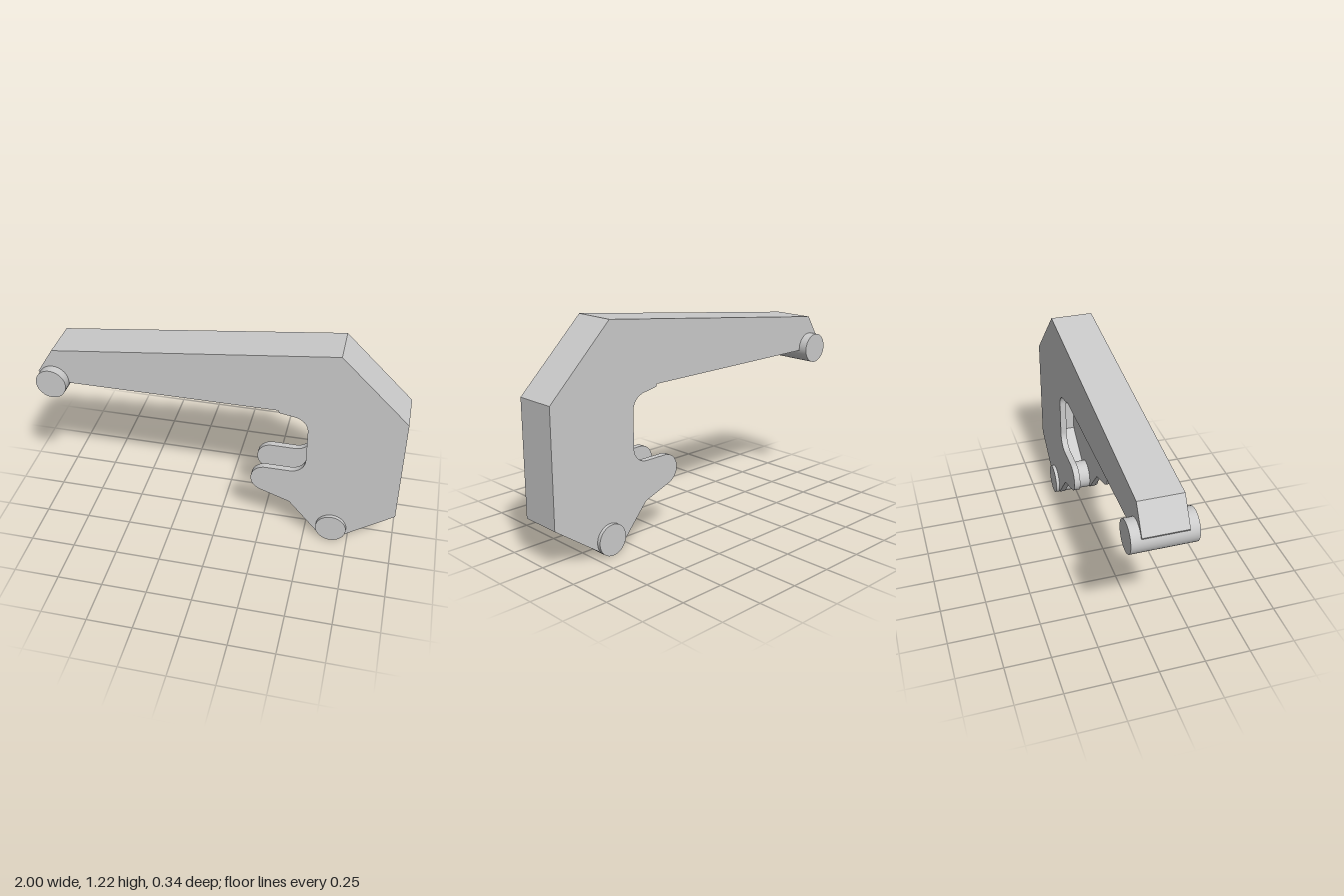
import * as THREE from 'three';

const HALF = 0.117;   // half width of the body
const PLATE = 0.035;  // side plate thickness

export function createModel() {
  const group = new THREE.Group();
  const mat = new THREE.MeshStandardMaterial({ color: 0xcccccc });

  function slab(name, shape, z0, z1) {
    const geo = new THREE.ExtrudeGeometry(shape, { depth: z1 - z0, bevelEnabled: false, curveSegments: 12 });
    geo.translate(0, 0, z0);
    const mesh = new THREE.Mesh(geo, mat);
    mesh.name = name;
    group.add(mesh);
  }

  function pin(name, x, y, radius, halfLength) {
    const geo = new THREE.CylinderGeometry(radius, radius, halfLength * 2, 36);
    geo.rotateX(Math.PI / 2);
    const mesh = new THREE.Mesh(geo, mat);
    mesh.name = name;
    mesh.position.set(x, y, 0);
    group.add(mesh);
  }

  // Outer edge shared by the plates and the core, from the bottom pin round to the arm tip
  function outerEdge(shape) {
    shape.moveTo(0.705, 0.02);
    shape.lineTo(1, 0.23);
    shape.lineTo(1, 0.86);
    shape.lineTo(0.63, 1.222);
    shape.lineTo(-0.91, 1.043);
    shape.lineTo(-1, 0.9);
    shape.lineTo(-0.97, 0.848);
    shape.lineTo(0.325, 0.848);
  }

  // Side plate with the rounded throat and the hook
  const plate = new THREE.Shape();
  outerEdge(plate);
  plate.lineTo(0.33, 0.833);
  plate.lineTo(0.42, 0.817);
  plate.quadraticCurveTo(0.487, 0.797, 0.487, 0.73);
  plate.lineTo(0.487, 0.535);
  plate.absarc(0.402, 0.535, 0.085, 0, -Math.PI / 2, true);
  plate.lineTo(0.27, 0.45);
  plate.absarc(0.27, 0.366, 0.084, Math.PI / 2, Math.PI * 1.39, false);
  plate.lineTo(0.41, 0.226);
  plate.lineTo(0.572, 0.037);
  plate.lineTo(0.6, 0.05);

  // Solid arm and the thin back wall that joins the plates
  const core = new THREE.Shape();
  outerEdge(core);
  core.lineTo(0.95, 0.848);
  core.lineTo(0.95, 0.255);
  core.lineTo(0.68, 0.065);

  slab('frontPlate', plate, HALF - PLATE, HALF);
  slab('backPlate', plate, -HALF, -HALF + PLATE);
  slab('armAndBackWall', core, -HALF + PLATE, HALF - PLATE);

  // Cross pins
  pin('tipPin', -0.915, 0.858, 0.085, 0.168);
  pin('pivotPin', 0.655, 0.086, 0.086, 0.137);

  return group;
}
